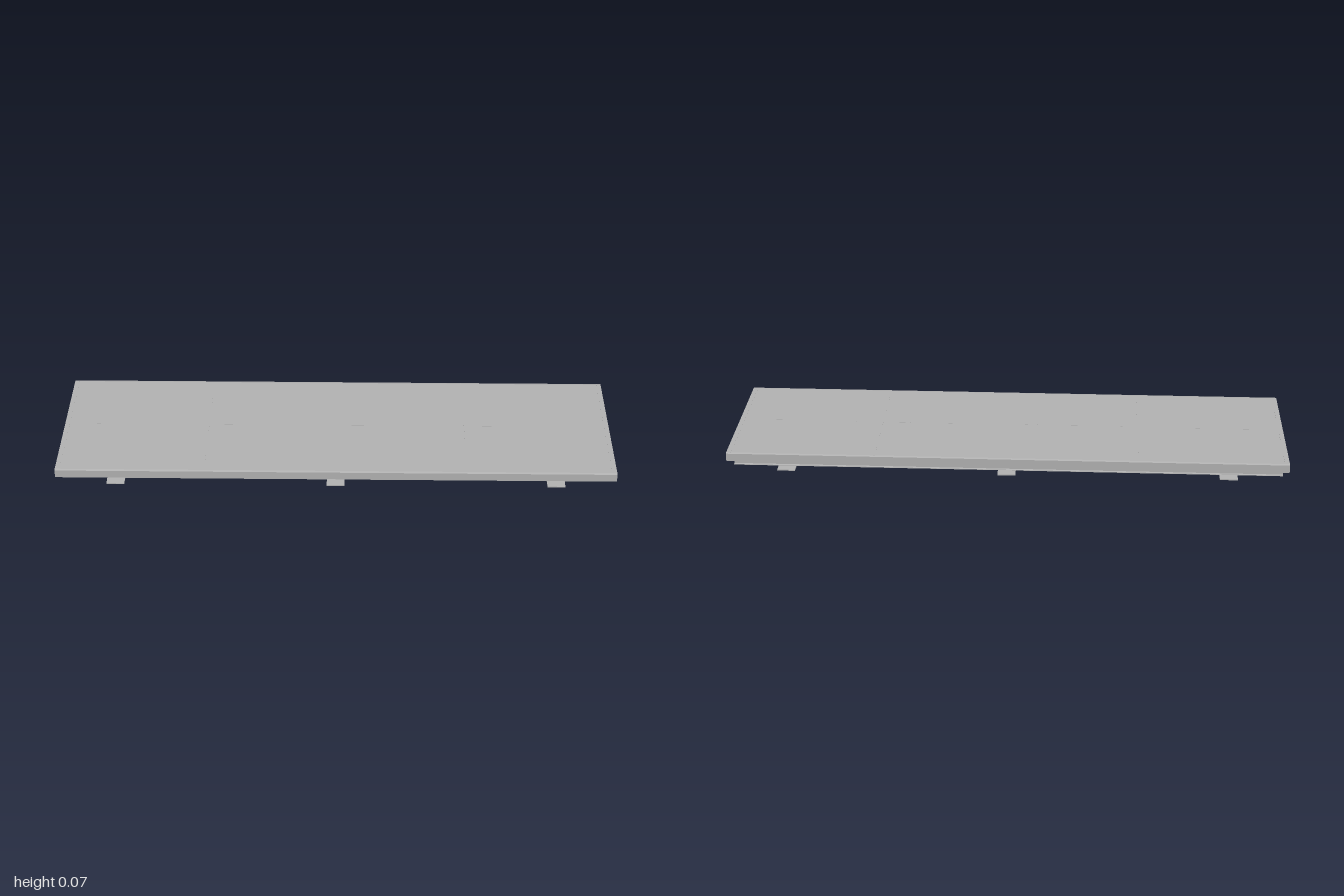
import * as THREE from 'three';

export function createModel() {
  const root = new THREE.Group();
  root.name = 'bridgeDeck';
  const concrete = new THREE.MeshStandardMaterial({ color: 0xb2b2b2 });
  concrete.name = 'concreteGrey';

  // Extrude a cross-section given as [z, y] points along x, centred on x = 0
  function sweep(name, points, length, z = 0) {
    const shape = new THREE.Shape(points.map(([pz, py]) => new THREE.Vector2(-pz, py)));
    const geo = new THREE.ExtrudeGeometry(shape, { depth: length, bevelEnabled: false });
    geo.translate(0, 0, -length / 2);
    geo.rotateY(Math.PI / 2);
    const mesh = new THREE.Mesh(geo, concrete);
    mesh.name = name;
    mesh.position.z = z;
    root.add(mesh);
  }

  function box(name, w, h, d, x, y, z) {
    const mesh = new THREE.Mesh(new THREE.BoxGeometry(w, h, d), concrete);
    mesh.name = name;
    mesh.position.set(x, y, z);
    root.add(mesh);
  }

  // Mirror half of a section so both sides match
  const mirrored = (half) => [...half, ...half.map(([z, y]) => [-z, y]).reverse()];

  // Slab with bevelled top edges and drip lips along both long sides
  sweep('deckSlab', mirrored([
    [0.279, 0.073], [0.287, 0.071], [0.287, 0.042], [0.283, 0.042],
    [0.282, 0.045], [0.276, 0.045], [0.274, 0.048],
  ]), 2);

  // Five long girders with a wide bottom flange
  const girder = mirrored([
    [0.0075, 0.049], [0.0075, 0.0065], [0.014, 0.0055], [0.014, 0.003],
  ]);
  for (let i = -2; i <= 2; i++) sweep('girder', girder, 1.968, i * 0.1115);

  // Cross plates tying the girders together underneath
  for (const x of [-0.79, 0, 0.79]) box('crossPlate', 0.064, 0.004, 0.542, x, 0.002, 0);

  // Thin joints across the deck and at its ends
  for (const x of [-0.985, -0.47, 0.47, 0.985]) {
    box('deckJoint', 0.004, 0.0006, 0.558, x, 0.0732, 0);
  }

  // Dashed centre line
  for (let i = 0; i < 12; i++) {
    box('centreDash', 0.045, 0.0006, 0.003, -0.86 + i * 1.72 / 11, 0.0732, 0);
  }
  return root;
}
